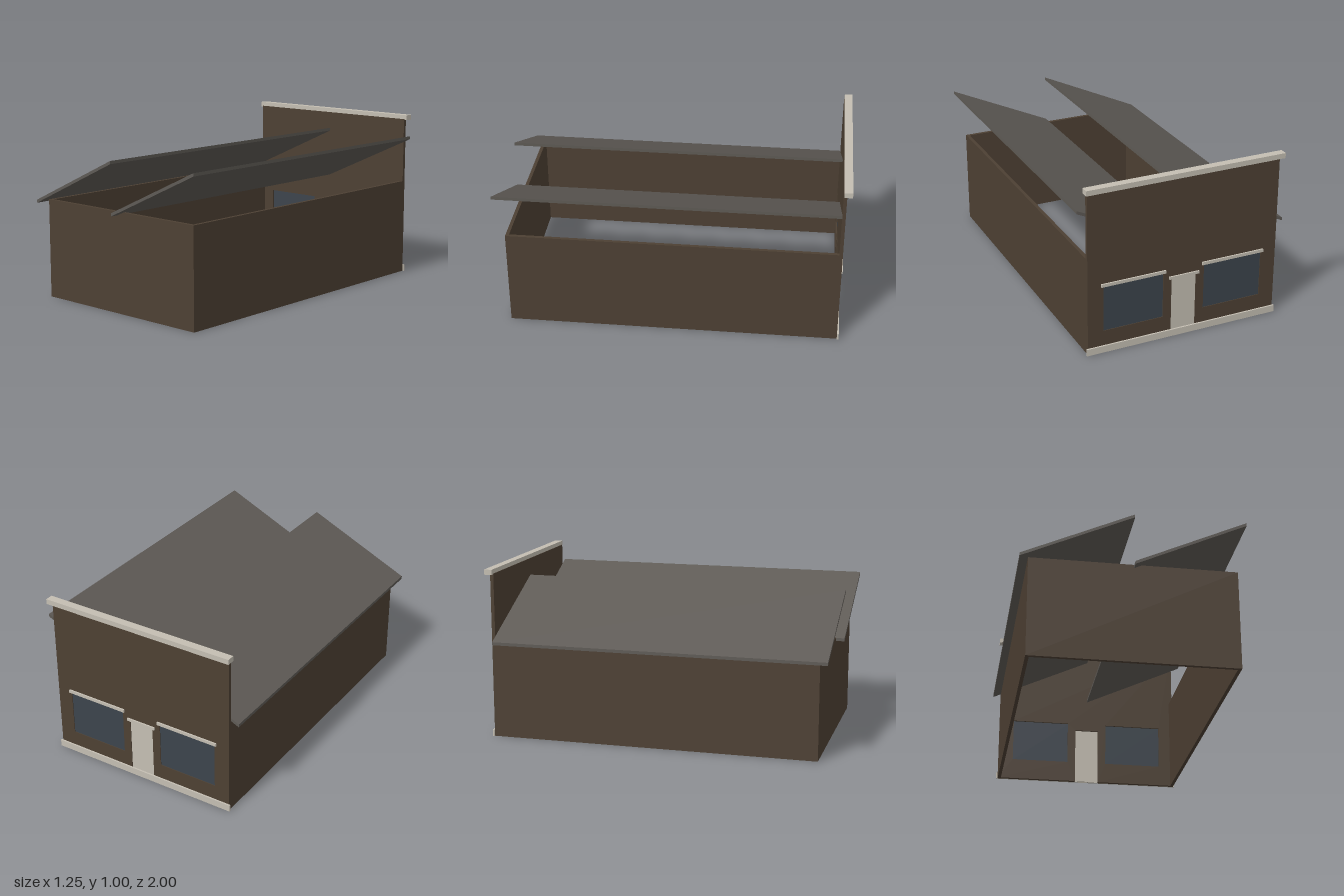
import * as THREE from 'three';

const paint = (name, color) => {
  const m = new THREE.MeshStandardMaterial({ color });
  m.name = name;
  return m;
};

export function createModel() {
  const model = new THREE.Group();
  const brown = paint('brown wall', 0x4d4033);
  const stone = paint('pale trim', 0xc4beb2);
  const grey = paint('grey roof', 0x5e5a55);
  const glass = paint('dark glass', 0x3c444c);

  const add = (name, geometry, material) => {
    const mesh = new THREE.Mesh(geometry, material);
    mesh.name = name;
    model.add(mesh);
    return mesh;
  };
  // Box given by its limits on each axis
  const box = (name, material, [x0, x1], [y0, y1], [z0, z1]) =>
    add(name, new THREE.BoxGeometry(x1 - x0, y1 - y0, z1 - z0)
      .translate((x0 + x1) / 2, (y0 + y1) / 2, (z0 + z1) / 2), material);
  const polygon = (points, Type = THREE.Shape) =>
    new Type(points.map(([x, y]) => new THREE.Vector2(x, y)));

  // Low walls on three sides, open above and below
  const W = 0.578, H = 0.58, T = 0.02;
  box('endWall', brown, [-W, W], [0, H], [0.95 - T, 0.95]);
  box('leftWall', brown, [W - T, W], [0, H], [-0.95, 0.95 - T]);
  box('rightWall', brown, [-W, -W + T], [0, H], [-0.95, 0.95 - T]);

  // Tall facade with a doorway notch and two window openings
  const facade = polygon([
    [-W, 0], [-0.075, 0], [-0.075, 0.355], [0.075, 0.355],
    [0.075, 0], [W, 0], [W, 0.97], [-W, 0.97],
  ]);
  for (const s of [-1, 1]) {
    facade.holes.push(polygon([
      [s * 0.125, 0.13], [s * 0.485, 0.13], [s * 0.485, 0.4], [s * 0.125, 0.4],
    ], THREE.Path));
  }
  add('facade', new THREE.ExtrudeGeometry(facade, { depth: T, bevelEnabled: false })
    .translate(0, 0, -0.97), brown);

  // Windows, door and the lintels above them
  for (const [side, a, b] of [['left', 0.125, 0.485], ['right', -0.485, -0.125]]) {
    box(side + 'Window', glass, [a, b], [0.13, 0.4], [-0.966, -0.96]);
    box(side + 'WindowLintel', stone, [a - 0.013, b + 0.013], [0.402, 0.42], [-0.979, -0.97]);
  }
  box('door', stone, [-0.075, 0.075], [0.002, 0.355], [-0.967, -0.96]);
  box('doorLintel', stone, [-0.092, 0.092], [0.357, 0.373], [-0.979, -0.97]);

  // Base strip and cornice
  box('baseStrip', stone, [-0.587, 0.587], [0, 0.04], [-0.98, -0.97]);
  box('cornice', stone, [-0.595, 0.595], [0.965, 0.995], [-1, -0.953]);

  // Two parallel sawtooth roof slabs, both rising toward the left
  for (const [name, x] of [['rightRoofSlab', -0.627], ['leftRoofSlab', 0]]) {
    const section = polygon([
      [x, 0.56], [x + 0.627, 0.85], [x + 0.627, 0.868], [x, 0.578],
    ]);
    add(name, new THREE.ExtrudeGeometry(section, { depth: 1.95, bevelEnabled: false })
      .translate(0, 0, -0.95), grey);
  }
  return model;
}
